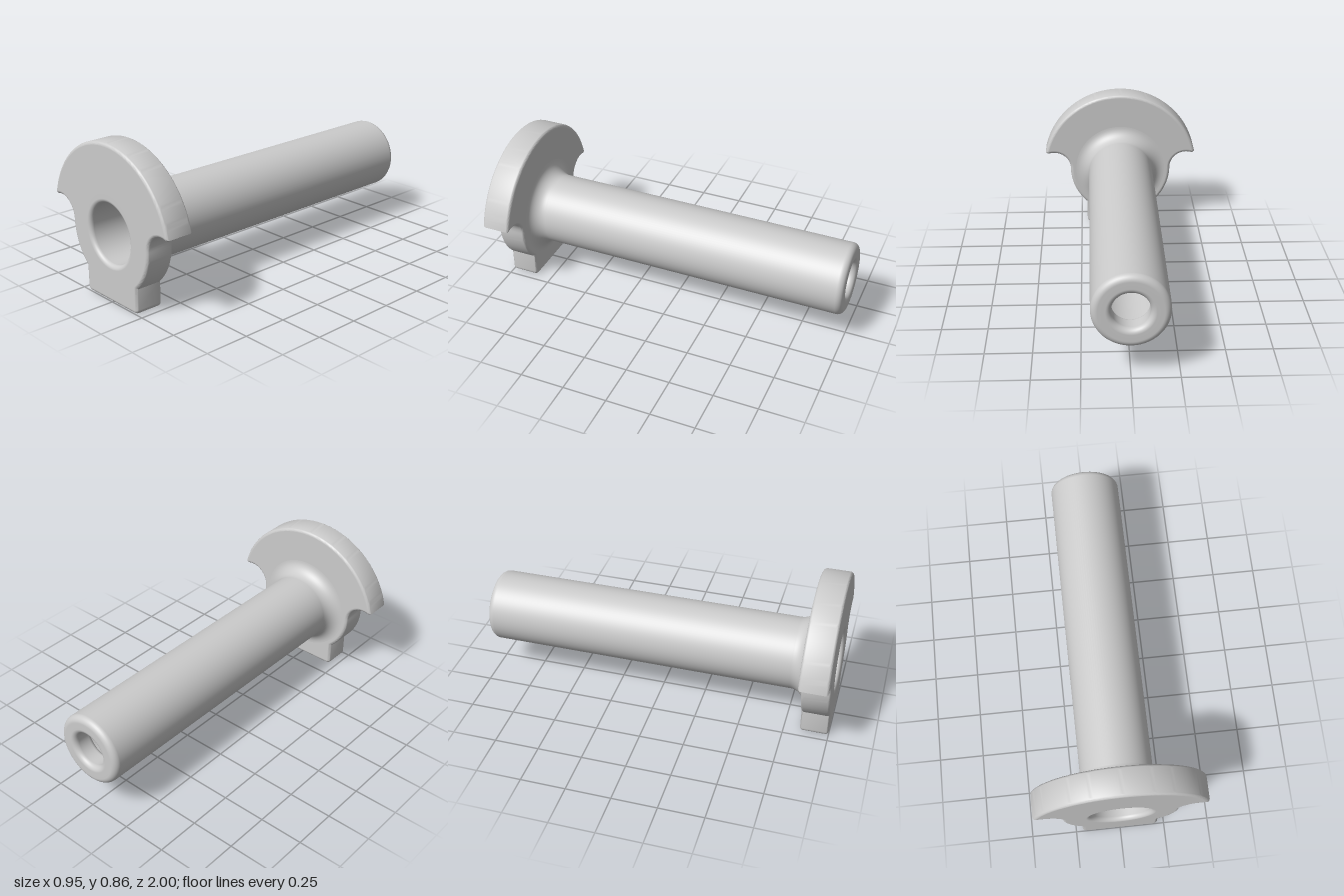
import * as THREE from 'three';
import { toCreasedNormals } from 'three/addons/utils/BufferGeometryUtils.js';

const CY = 0.375; // height of the bore axis
const material = new THREE.MeshStandardMaterial({ color: 0xcccccc });

// Points on an arc from angle a to angle b
function arc(cx, cy, r, a, b, n) {
  return Array.from({ length: n + 1 }, (_, i) => {
    const t = a + (b - a) * i / n;
    return new THREE.Vector2(cx + r * Math.cos(t), cy + r * Math.sin(t));
  });
}

function createPlate() {
  const bevel = 0.018, back = 0.84, front = 1;
  // Right half of the outline, bottom to top: foot, round body, notch, large crown
  const half = [
    ...arc(0.188, 0.025, 0.025, -Math.PI / 2, 0, 6),
    ...arc(0, CY, 0.316, -0.831, -0.03, 20),
    ...arc(0.421, CY, 0.105, Math.PI, 1.22, 16),
    ...arc(0, CY, 0.485, 0.225, Math.PI / 2, 44),
  ];
  const mirrored = half.slice(0, -1).reverse().map(p => new THREE.Vector2(-p.x, p.y));
  const shape = new THREE.Shape([...half, ...mirrored]);
  // Hole that receives the flared tube
  shape.holes.push(new THREE.Path(arc(0, CY, 0.21, 0, -Math.PI * 2, 64).slice(0, -1)));

  let geometry = new THREE.ExtrudeGeometry(shape, {
    depth: front - back - 2 * bevel, bevelEnabled: true, bevelThickness: bevel,
    bevelSize: bevel, bevelOffset: -bevel, bevelSegments: 5, curveSegments: 1,
  });
  geometry.translate(0, 0, back + bevel);
  geometry = toCreasedNormals(geometry, 0.6);

  // Keep the two broad faces perfectly flat
  const pos = geometry.attributes.position, normal = geometry.attributes.normal;
  for (let i = 0; i < pos.count; i += 3) {
    const z = [0, 1, 2].map(k => pos.getZ(i + k));
    for (const [face, sign] of [[front, 1], [back, -1]]) {
      if (z.every(v => Math.abs(v - face) < 1e-4)) {
        for (let k = 0; k < 3; k++) normal.setXYZ(i + k, 0, 0, sign);
      }
    }
  }
  const mesh = new THREE.Mesh(geometry, material);
  mesh.name = 'headPlate';
  return mesh;
}

function createTube() {
  const P = Math.PI;
  // Profile (radius, z): front lip, bore, shoulder, rear hole, rear end, outside, fillet
  const profile = [
    new THREE.Vector2(0.235, 1),
    ...arc(0.19, 0.975, 0.025, P / 2, P, 8),
    ...arc(0.135, -0.85, 0.03, 0, -P / 2, 8),
    ...arc(0.122, -0.905, 0.025, P / 2, P, 8),
    ...arc(0.127, -0.97, 0.03, P, P * 1.5, 8),
    ...arc(0.165, -0.965, 0.035, -P / 2, 0, 8),
    ...arc(0.28, 0.76, 0.08, P, P / 2, 12),
  ];
  const geometry = new THREE.LatheGeometry(profile, 96);
  geometry.rotateX(P / 2);
  const mesh = new THREE.Mesh(geometry, material);
  mesh.name = 'hollowShaft';
  mesh.position.y = CY;
  return mesh;
}

export function createModel() {
  const model = new THREE.Group();
  model.name = 'flangedSleeve';
  model.add(createPlate(), createTube());
  return model;
}
